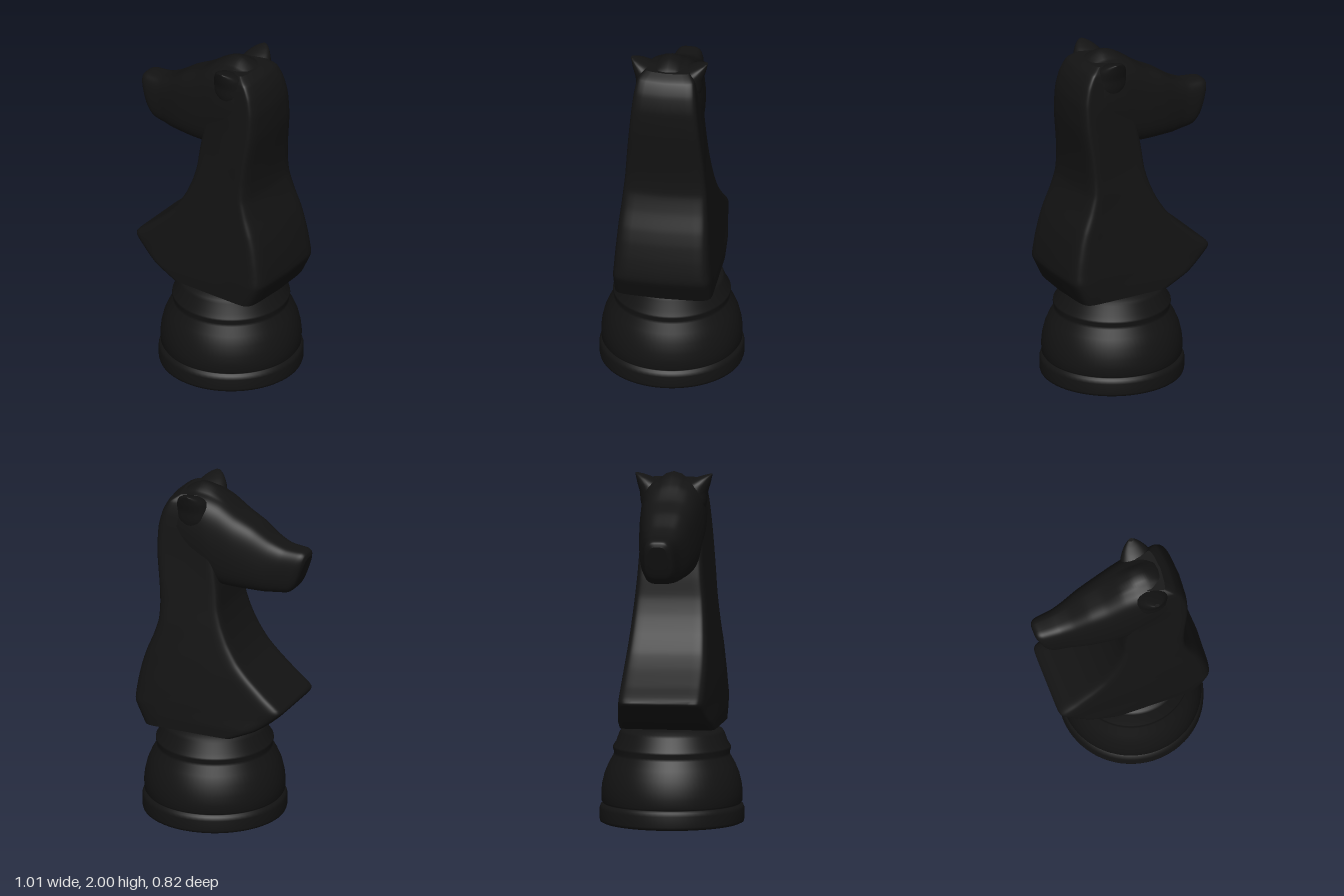
import * as THREE from 'three';

const material = new THREE.MeshStandardMaterial({ color: 0x131313 });
const AXIS_X = 0.085; // axis of the turned base
const YAW = 0.135; // the horse is turned slightly on its base

// Smoothly resample rows of section numbers (gentle Catmull-Rom)
function resample(rows, steps) {
  const out = [];
  const tension = 0.35;
  for (let i = 0; i < rows.length - 1; i++) {
    const a = rows[Math.max(i - 1, 0)], b = rows[i], c = rows[i + 1];
    const d = rows[Math.min(i + 2, rows.length - 1)];
    for (let s = 0; s < steps; s++) {
      const t = s / steps, t2 = t * t, t3 = t2 * t;
      out.push(b.map((v, k) =>
        (2 * t3 - 3 * t2 + 1) * v + (3 * t2 - 2 * t3) * c[k] +
        (t3 - 2 * t2 + t) * tension * (c[k] - a[k]) + (t3 - t2) * tension * (d[k] - v)));
    }
  }
  out.push(rows[rows.length - 1]);
  return out;
}

// Rounded-box outline: the higher the power, the tighter the corners
function superellipse(angle, power) {
  const f = (v) => Math.sign(v) * Math.pow(Math.abs(v), 2 / power);
  return [f(Math.cos(angle)), f(Math.sin(angle))];
}

// Skin a list of sections; both ends are capped with a crisp edge
function loft(name, rows, pointAt, sides = 64) {
  const positions = [], index = [];
  const ring = (row) => {
    const start = positions.length / 3;
    for (let j = 0; j < sides; j++) positions.push(...pointAt(row, (j / sides) * Math.PI * 2));
    return start;
  };
  const starts = rows.map(ring);
  for (let i = 0; i < rows.length - 1; i++) {
    for (let j = 0; j < sides; j++) {
      const k = (j + 1) % sides;
      const a = starts[i] + j, b = starts[i] + k, c = starts[i + 1] + j, d = starts[i + 1] + k;
      index.push(a, c, b, b, c, d);
    }
  }
  [rows[0], rows[rows.length - 1]].forEach((row, end) => {
    const start = ring(row), centre = positions.length / 3;
    const p = pointAt(row, 0), q = pointAt(row, Math.PI);
    positions.push(...p.map((v, k) => (v + q[k]) / 2));
    for (let j = 0; j < sides; j++) {
      const a = start + j, b = start + (j + 1) % sides;
      index.push(centre, end ? b : a, end ? a : b);
    }
  });
  const geometry = new THREE.BufferGeometry();
  geometry.setAttribute('position', new THREE.Float32BufferAttribute(positions, 3));
  geometry.setIndex(index);
  geometry.computeVertexNormals();
  const mesh = new THREE.Mesh(geometry, material);
  mesh.name = name;
  return mesh;
}

// Turned pedestal
function makeBase() {
  const profile = [
    [0, 0], [0.395, 0], [0.408, 0.006], [0.412, 0.02], [0.412, 0.08], [0.405, 0.1], [0.392, 0.108],
    [0.392, 0.113], [0.4, 0.122], [0.402, 0.17], [0.397, 0.22], [0.383, 0.28], [0.36, 0.335],
    [0.332, 0.385], [0.328, 0.4], [0.336, 0.425], [0.334, 0.437], [0.318, 0.46], [0.298, 0.515],
    [0.288, 0.53], [0.25, 0.55], [0.2, 0.565], [0, 0.565],
  ].map(([r, y]) => new THREE.Vector2(r, y));
  const mesh = new THREE.Mesh(new THREE.LatheGeometry(profile, 72), material);
  mesh.name = 'base';
  return mesh;
}

// Chest and neck: height, front, back, half width at back, half width at front
function makeNeck() {
  const rows = [
    [0.558, -0.235, 0.32, 0.282, 0.275],
    [0.62, -0.37, 0.35, 0.286, 0.268],
    [0.69, -0.465, 0.381, 0.288, 0.252],
    [0.75, -0.515, 0.378, 0.284, 0.244],
    [0.83, -0.425, 0.365, 0.278, 0.24],
    [0.92, -0.325, 0.345, 0.27, 0.235],
    [1.0, -0.25, 0.32, 0.264, 0.228],
    [1.1, -0.186, 0.28, 0.254, 0.218],
    [1.2, -0.142, 0.25, 0.245, 0.208],
    [1.3, -0.114, 0.245, 0.235, 0.198],
    [1.42, -0.1, 0.253, 0.226, 0.186],
    [1.6, -0.07, 0.274, 0.208, 0.176],
    [1.75, -0.04, 0.273, 0.192, 0.17],
    [1.85, 0, 0.25, 0.18, 0.16],
    [1.92, 0.03, 0.212, 0.165, 0.14],
    [1.955, 0.06, 0.16, 0.13, 0.1],
  ];
  return loft('neck', resample(rows, 5), ([y, front, back, wb, wf], angle) => {
    const [c, s] = superellipse(angle, 12);
    const x = (front + back) / 2 + (c * (back - front)) / 2;
    // The back is slightly bowed
    const bow = c > 0 ? 0.02 * c * (1 - s * s) : 0;
    return [x + bow, y, s * THREE.MathUtils.lerp(wf, wb, (c + 1) / 2)];
  }, 80);
}

// Head: position, top, bottom, half width, setback of the lower lip
function makeHead() {
  const rows = [
    [-0.594, 1.655, 1.52, 0.055, 0.045],
    [-0.588, 1.68, 1.465, 0.078, 0.065],
    [-0.56, 1.695, 1.43, 0.092, 0.08],
    [-0.46, 1.705, 1.42, 0.105, 0.06],
    [-0.38, 1.74, 1.416, 0.122, 0.03],
    [-0.28, 1.808, 1.418, 0.144, 0],
    [-0.18, 1.86, 1.42, 0.163, 0],
    [-0.08, 1.925, 1.43, 0.176, 0],
    [0, 1.955, 1.5, 0.184, 0],
    [0.08, 1.964, 1.55, 0.186, 0],
    [0.15, 1.95, 1.6, 0.182, 0],
    [0.21, 1.91, 1.65, 0.17, 0],
    [0.26, 1.83, 1.7, 0.13, 0],
  ];
  return loft('head', resample(rows, 5), ([u, top, bottom, w, setback], angle) => {
    const [c, s] = superellipse(angle, 3.6);
    const z = -s * w * (1 - 0.12 * Math.max(c, 0));
    // Forelock ridge between the ears
    const ridge = 0.037 * Math.exp(-((z / 0.055) ** 4)) * Math.exp(-(((u - 0.05) / 0.11) ** 2));
    const y = (top + bottom) / 2 + (c * (top - bottom)) / 2 + (c > 0 ? ridge : 0);
    return [u + setback * (1 - c) / 2, y, z];
  });
}

// Ear flaring out of the side of the crown
function makeEar(side) {
  const rows = [
    [1.74, 0.03, 0.03, 0.135], [1.82, 0.095, 0.06, 0.128], [1.88, 0.1, 0.08, 0.115],
    [1.93, 0.085, 0.074, 0.135], [1.96, 0.06, 0.048, 0.168], [1.977, 0.036, 0.026, 0.194],
    [1.986, 0.014, 0.01, 0.212],
  ];
  return loft(side > 0 ? 'leftEar' : 'rightEar', resample(rows, 4), ([y, length, depth, lean], angle) =>
    [0.08 + Math.cos(angle) * length, y, side * lean + Math.sin(angle) * depth], 32);
}

export function createModel() {
  const model = new THREE.Group();
  model.name = 'chessKnight';
  const base = makeBase();
  base.position.x = AXIS_X;
  const horse = new THREE.Group();
  horse.name = 'horse';
  horse.position.x = AXIS_X;
  horse.rotation.y = YAW;
  horse.add(makeNeck(), makeHead(), makeEar(1), makeEar(-1));
  model.add(base, horse);
  return model;
}
